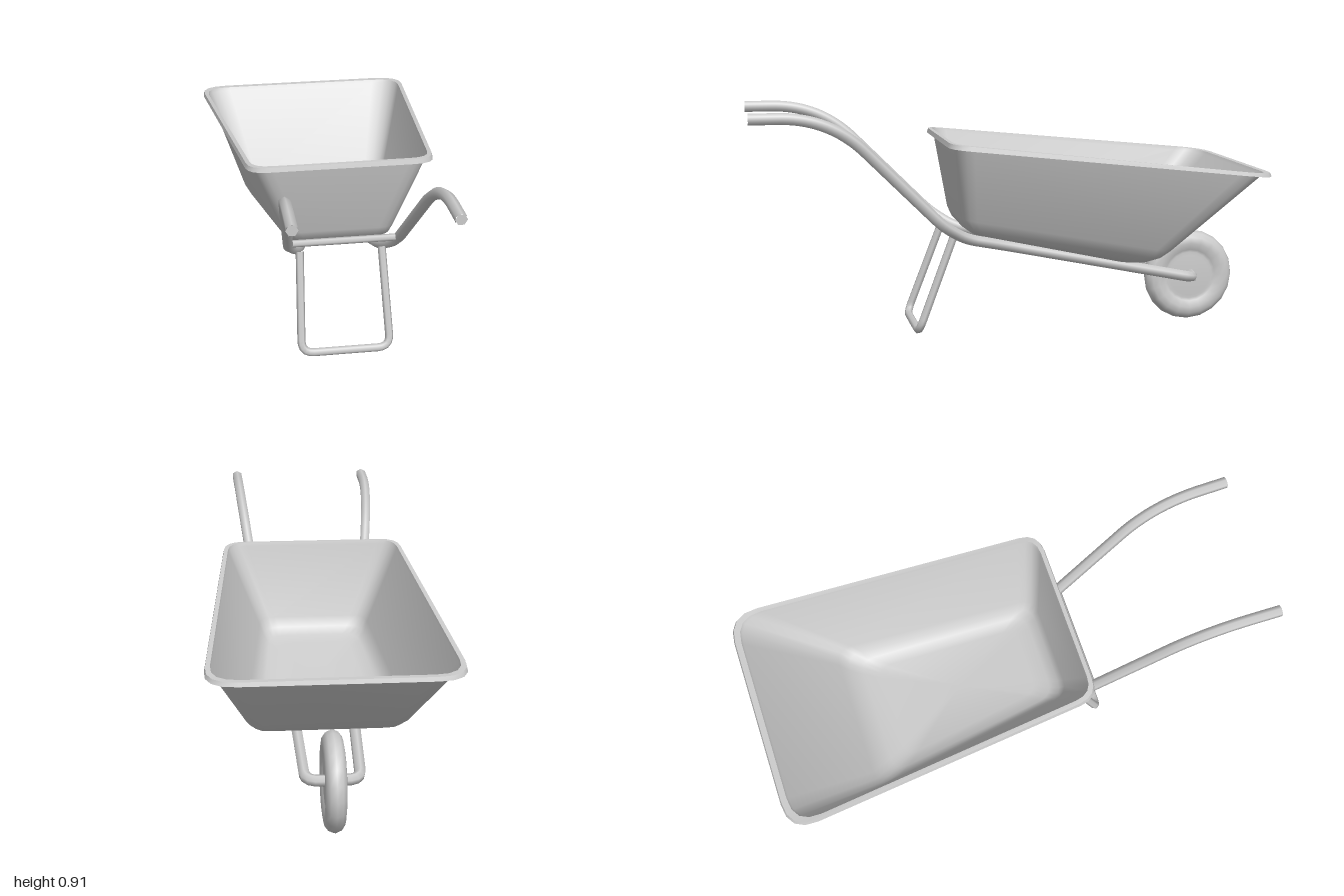
import * as THREE from 'three';
import { toCreasedNormals } from 'three/addons/utils/BufferGeometryUtils.js';

const material = new THREE.MeshStandardMaterial({ color: 0xcccccc });
const sheet = new THREE.MeshStandardMaterial({ color: 0xcccccc, side: THREE.DoubleSide });
const V = (x, y, z) => new THREE.Vector3(x, y, z);

function mesh(name, geometry, mat = material) {
  const m = new THREE.Mesh(geometry, mat);
  m.name = name;
  return m;
}

// Bent pipe: straight runs between corners, each corner [point, bend length] rounded
function pipe(name, corners, radius, segments) {
  const path = new THREE.CurvePath();
  let from = corners[0][0];
  for (let i = 1; i < corners.length - 1; i++) {
    const [p, r] = corners[i];
    const a = p.clone().add(corners[i - 1][0].clone().sub(p).setLength(r));
    const b = p.clone().add(corners[i + 1][0].clone().sub(p).setLength(r));
    path.add(new THREE.LineCurve3(from, a));
    path.add(new THREE.QuadraticBezierCurve3(a, p, b));
    from = b;
  }
  path.add(new THREE.LineCurve3(from, corners[corners.length - 1][0]));
  return mesh(name, new THREE.TubeGeometry(path, segments, radius, 6));
}

// Rounded trapezoid on a plane sloping from back to front
function loop([zB, zF, wB, wF, yB, yF, rB, rF]) {
  const corners = [[wB, zB, rB], [wF, zF, rF], [-wF, zF, rF], [-wB, zB, rB]];
  const pts = [];
  corners.forEach(([x, z, r], i) => {
    const c = new THREE.Vector2(x, z);
    const toward = (j) => {
      const o = corners[(j + 4) % 4];
      return c.clone().add(new THREE.Vector2(o[0], o[1]).sub(c).setLength(r));
    };
    const curve = new THREE.QuadraticBezierCurve(toward(i - 1), c, toward(i + 1));
    for (const p of curve.getPoints(4)) {
      pts.push(p.x, yB + (yF - yB) * (p.y - zB) / (zF - zB), p.y);
    }
  });
  return pts;
}

// Skin a stack of loops, closing the first one with a fan
function skin(rows) {
  const loops = rows.map(loop);
  const n = loops[0].length / 3;
  const positions = loops.flat();
  const index = [];
  for (let k = 0; k < loops.length - 1; k++) {
    for (let i = 0; i < n; i++) {
      const a = k * n + i, b = k * n + (i + 1) % n;
      index.push(a, b, a + n, b, b + n, a + n);
    }
  }
  const centre = positions.length / 3;
  const [zB, zF, , , yB, yF] = rows[0];
  positions.push(0, (yB + yF) / 2, (zB + zF) / 2);
  for (let i = 0; i < n; i++) index.push(centre, (i + 1) % n, i);
  const g = new THREE.BufferGeometry();
  g.setAttribute('position', new THREE.Float32BufferAttribute(positions, 3));
  g.setIndex(index);
  return toCreasedNormals(g, 0.8);
}

export function createModel() {
  const model = new THREE.Group();
  model.name = 'wheelbarrow';

  // Tub: back z, front z, back and front half widths, back and front y, corner radii
  model.add(mesh('tub', skin([
    [0.09, -0.48, 0.14, 0.20, 0.400, 0.282, 0.05, 0.05],
    [0.145, -0.55, 0.18, 0.25, 0.415, 0.288, 0.06, 0.06],
    [0.178, -0.60, 0.20, 0.285, 0.440, 0.308, 0.06, 0.07],
    [0.195, -0.635, 0.215, 0.31, 0.480, 0.340, 0.06, 0.07],
    [0.235, -0.965, 0.335, 0.435, 0.775, 0.645, 0.07, 0.11],
    [0.238, -0.972, 0.338, 0.438, 0.788, 0.657, 0.07, 0.11],
    [0.253, -0.995, 0.353, 0.456, 0.788, 0.657, 0.075, 0.12],
    [0.258, -1.0, 0.357, 0.460, 0.770, 0.642, 0.075, 0.12],
  ]), sheet));

  // Frame: each side runs from the grip, under the tub, to the axle
  for (const s of [1, -1]) {
    const side = s > 0 ? 'left' : 'right';
    model.add(pipe(side + 'FrameTube', [
      [V(s * 0.283, 0.89, 1), 0],
      [V(s * 0.278, 0.89, 0.70), 0.19],
      [V(s * 0.212, 0.455, 0.265), 0.05],
      [V(s * 0.162, 0.395, 0.17), 0.05],
      [V(s * 0.125, 0.357, 0), 0.06],
      [V(s * 0.1, 0.192, -0.79), 0.05],
      [V(0, 0.192, -0.79), 0],
    ], 0.022, 100));
    const cap = mesh(side + 'GripEnd', new THREE.CircleGeometry(0.022, 6));
    cap.position.set(s * 0.283, 0.89, 1);
    model.add(cap);
  }

  // Cross bar between the handles
  const bar = mesh('crossBar', new THREE.CylinderGeometry(0.014, 0.014, 0.4, 6));
  bar.rotation.z = Math.PI / 2;
  bar.position.set(0, 0.486, 0.298);
  model.add(bar);

  // Leg hoop
  model.add(pipe('legs', [
    [V(0.162, 0.41, 0.218), 0],
    [V(0.176, 0.036, 0.36), 0.05],
    [V(-0.176, 0.036, 0.36), 0.05],
    [V(-0.162, 0.41, 0.218), 0],
  ], 0.016, 70));

  // Wheel with a shallow ring groove on each face
  const half = [[0, 0.03], [0.085, 0.03], [0.097, 0.024], [0.108, 0.03],
    [0.135, 0.039], [0.16, 0.035], [0.178, 0.022]];
  const profile = [
    ...half.map(([r, x]) => new THREE.Vector2(r, -x)),
    new THREE.Vector2(0.187, 0),
    ...half.slice().reverse().map(([r, x]) => new THREE.Vector2(r, x)),
  ];
  const wheel = mesh('wheel', new THREE.LatheGeometry(profile, 20));
  wheel.rotation.z = Math.PI / 2;
  wheel.position.set(0, 0.188, -0.79);
  model.add(wheel);

  return model;
}
